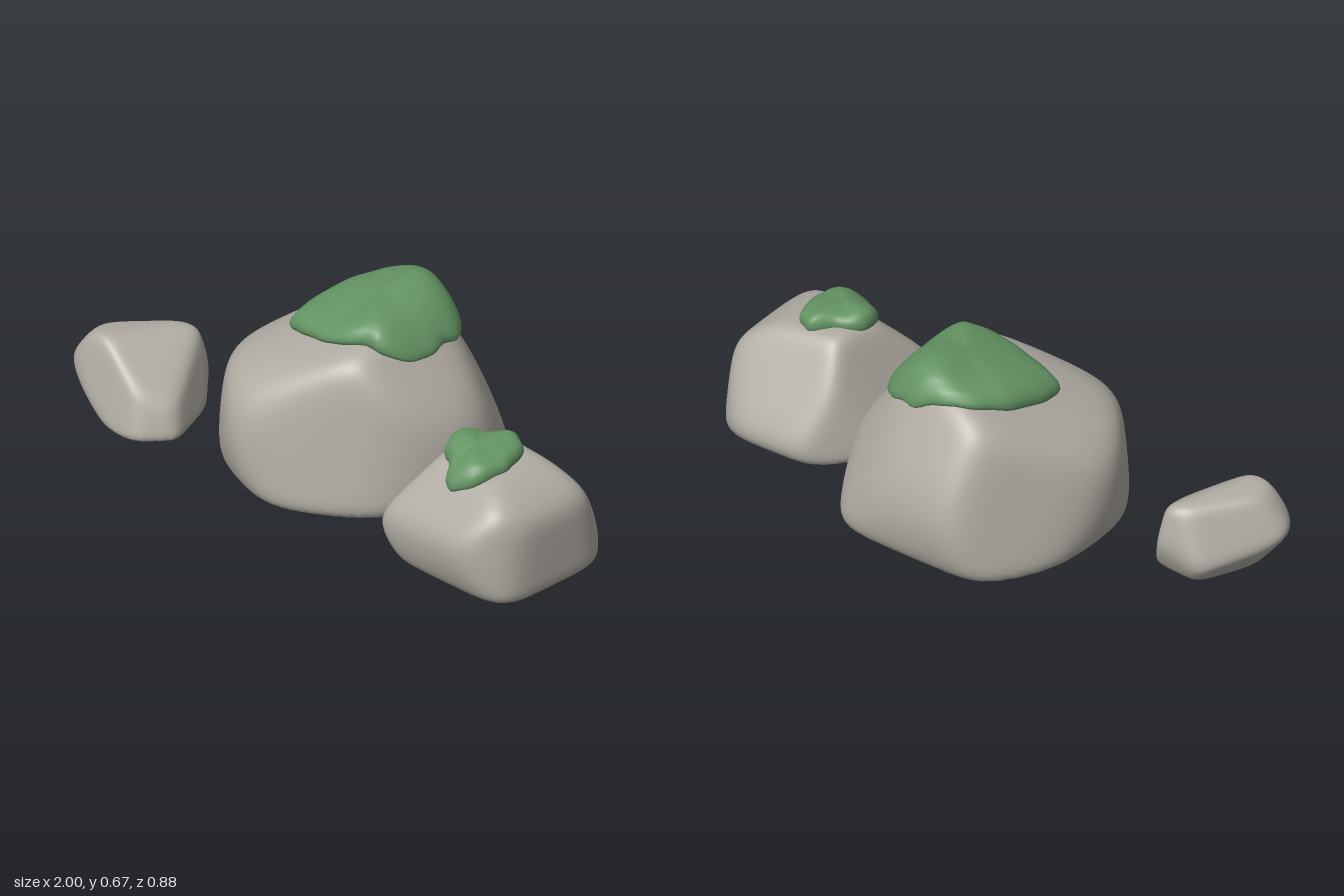
import * as THREE from 'three';
import { mergeVertices } from 'three/addons/utils/BufferGeometryUtils.js';

const V = (a) => new THREE.Vector3(...a);
const stone = new THREE.MeshStandardMaterial({ color: 0xb0aba3 });
stone.name = 'warm grey stone';
const green = new THREE.MeshStandardMaterial({ color: 0x659564 });
green.name = 'moss green';

// Boulder: a sphere pressed against soft-edged planes [normal, point], then fitted to a box.
function makeRock(name, centre, lo, hi, planes, sharp = 12) {
  const c = V(centre);
  const cuts = planes.map(([n, p]) => {
    const normal = V(n).normalize();
    return normal.divideScalar(normal.dot(V(p).sub(c)));
  });
  const size = (v) => cuts.reduce((s, n) => s + Math.max(0, n.dot(v)) ** sharp, 0) ** (1 / sharp);

  let geo = new THREE.IcosahedronGeometry(1, 24);
  geo.deleteAttribute('normal');
  geo.deleteAttribute('uv');
  geo = mergeVertices(geo);
  const pos = geo.attributes.position;
  const v = new THREE.Vector3();
  for (let i = 0; i < pos.count; i++) {
    v.fromBufferAttribute(pos, i);
    v.divideScalar(size(v));
    pos.setXYZ(i, v.x, v.y, v.z);
  }
  geo.computeBoundingBox();
  const from = geo.boundingBox.clone();
  const min = V(lo);
  const scale = V(hi).sub(min).divide(from.getSize(new THREE.Vector3()));
  for (let i = 0; i < pos.count; i++) {
    v.fromBufferAttribute(pos, i).sub(from.min).multiply(scale).add(min);
    pos.setXYZ(i, v.x, v.y, v.z);
  }
  geo.computeVertexNormals();
  geo.computeBoundingBox();
  geo.computeBoundingSphere();
  const mesh = new THREE.Mesh(geo, stone);
  mesh.name = name;

  // Height of the upper surface at x, z
  const height = (x, z) => {
    let a = lo[1] + (hi[1] - lo[1]) * 0.4, b = hi[1];
    for (let k = 0; k < 18; k++) {
      const y = (a + b) / 2;
      v.set(x, y, z).sub(min).divide(scale).add(from.min);
      if (size(v) < 1) a = y; else b = y;
    }
    return a;
  };
  return { mesh, height };
}

// Moss: a lumpy cushion with a rolled rim, draped over a boulder.
function makeMoss(name, outline, height, thick, ripple) {
  const curve = new THREE.CatmullRomCurve3(outline.map(([x, z]) => new THREE.Vector3(x, 0, z)), true);
  const mid = outline.reduce((s, [x, z]) => [s[0] + x / outline.length, s[1] + z / outline.length], [0, 0]);
  const profile = [
    [0, 1], [0.2, 1], [0.4, 1], [0.6, 0.97], [0.75, 0.93], [0.86, 0.84], [0.94, 0.67], [0.985, 0.42],
    [1, 0.15], [0.98, -0.12], [0.92, -0.28], [0.8, -0.35], [0.5, -0.35], [0, -0.35],
  ];
  const N = 72, verts = [], index = [];
  profile.forEach(([s, h], i) => {
    for (let j = 0; j < N; j++) {
      const u = j / N, a = u * Math.PI * 2;
      const p = curve.getPoint(u);
      const k = s * (1 + ripple * s * (Math.sin(9 * a + 1) + 0.6 * Math.sin(14 * a)));
      const dx = (p.x - mid[0]) * k, dz = (p.z - mid[1]) * k;
      const base = height(mid[0] + dx * 0.87, mid[1] + dz * 0.87);
      const lump = 1 + 0.14 * s * Math.sin(3 * a + 0.6) + 0.08 * s * Math.sin(5 * a + 2);
      verts.push(mid[0] + dx, base + thick * h * lump, mid[1] + dz);
      if (i < profile.length - 1) {
        const A = i * N + j, D = i * N + (j + 1) % N, B = A + N, C = D + N;
        index.push(A, C, B, A, D, C);
      }
    }
  });
  let geo = new THREE.BufferGeometry();
  geo.setAttribute('position', new THREE.Float32BufferAttribute(verts, 3));
  geo.setIndex(index);
  geo = mergeVertices(geo, 1e-5);
  geo.computeVertexNormals();
  const mesh = new THREE.Mesh(geo, green);
  mesh.name = name;
  return mesh;
}

export function createModel() {
  const group = new THREE.Group();
  group.name = 'mossyRocks';

  const large = makeRock('largeRock', [-0.03, 0.25, 0], [-0.46, 0, -0.44], [0.41, 0.61, 0.44], [
    // Base and undercuts
    [[0, -1, 0], [0, 0, 0]],
    [[-0.3, -0.55, 0.78], [-0.15, 0.05, 0.41]],
    [[-0.9, -0.45, 0], [-0.44, 0.06, 0.05]],
    [[0.85, -0.5, 0], [0.39, 0.05, -0.1]],
    [[0, -0.5, -0.85], [0, 0.05, -0.425]],
    // Sides
    [[0.5, 0.17, 0.85], [0.1, 0.22, 0.32]],
    [[-0.8, 0.1, 0.58], [-0.37, 0.2, 0.25]],
    [[-0.35, 0, 0.93], [-0.16, 0.18, 0.44]],
    [[-1, 0, 0], [-0.46, 0.2, 0.07]],
    [[-0.82, 0.2, -0.55], [-0.31, 0.25, -0.23]],
    [[0.1, 0, -0.99], [0, 0.12, -0.44]],
    [[0.62, 0.38, -0.68], [0.36, 0.15, -0.28]],
    [[0.98, 0, -0.1], [0.41, 0.2, -0.1]],
    [[0.85, 0.1, 0.5], [0.36, 0.15, 0.1]],
    // Shoulders and top
    [[-0.1, 0.72, 0.69], [-0.1, 0.45, 0.32]],
    [[0.1, 0.5, -0.85], [0.05, 0.43, -0.34]],
    [[0.72, 0.68, 0], [0.27, 0.445, -0.05]],
    [[-0.27, 0.95, 0.22], [-0.05, 0.56, -0.05]],
    [[-0.6, 0.8, 0], [-0.35, 0.42, 0]],
  ]);

  const medium = makeRock('mediumRock', [0.73, 0.19, 0.13], [0.45, 0, -0.163], [1, 0.41, 0.43], [
    [[0, -1, 0], [0.7, 0, 0.1]],
    [[-0.85, -0.5, 0.1], [0.463, 0.04, 0.25]],
    [[0, -0.5, 0.85], [0.7, 0.05, 0.405]],
    [[-0.08, 0, 0.98], [0.7, 0.17, 0.43]],
    [[-0.12, 0.7, 0.7], [0.7, 0.325, 0.325]],
    [[0.1, 0.98, 0.03], [0.72, 0.405, 0.15]],
    [[0, 0.5, -0.86], [0.75, 0.25, -0.06]],
    [[0, -0.5, -0.85], [0.75, 0.04, -0.15]],
    [[0.99, 0, 0.02], [1, 0.13, 0.1]],
    [[0.7, 0.1, 0.7], [0.955, 0.15, 0.36]],
    [[0.7, 0.1, -0.7], [0.95, 0.1, -0.1]],
    [[-0.75, 0.15, -0.65], [0.555, 0.08, -0.09]],
    [[-0.9, 0.4, -0.15], [0.505, 0.22, 0.1]],
    [[0.6, 0.8, 0], [0.94, 0.34, 0.1]],
  ]);

  const small = makeRock('smallRock', [-0.77, 0.14, 0.23], [-1, 0, 0.01], [-0.55, 0.293, 0.41], [
    [[0, -1, 0], [-0.75, 0, 0.2]],
    [[-0.75, -0.6, 0.2], [-0.95, 0.08, 0.3]],
    [[-0.7, -0.6, -0.35], [-0.9, 0.06, 0.18]],
    [[-0.5, -0.6, 0.6], [-0.92, 0.07, 0.36]],
    [[-0.7, 0.4, -0.6], [-0.885, 0.18, 0.15]],
    [[-0.75, 0.6, 0.2], [-0.965, 0.23, 0.28]],
    [[-0.6, 0, 0.8], [-0.95, 0.17, 0.385]],
    [[0.58, 0.8, 0.2], [-0.67, 0.235, 0.2]],
    [[-0.05, 1, -0.1], [-0.85, 0.29, 0.22]],
    [[0, 0.25, 0.97], [-0.75, 0.15, 0.4]],
    [[0.92, 0.2, -0.35], [-0.58, 0.11, 0.21]],
    [[-0.1, 0.25, -0.97], [-0.73, 0.12, 0.015]],
    [[0.1, -0.45, -0.88], [-0.7, 0.07, 0.04]],
    [[0.7, 0.3, 0.65], [-0.6, 0.13, 0.36]],
  ]);

  const largeMoss = makeMoss('largeMoss', [
    [0.04, -0.3], [0.15, -0.28], [0.24, -0.2], [0.25, -0.1], [0.26, 0.01], [0.2, 0.11], [0.12, 0.14],
    [0, 0.17], [-0.1, 0.15], [-0.2, 0.13], [-0.23, 0.05], [-0.2, -0.1], [-0.15, -0.21], [-0.06, -0.28],
  ], large.height, 0.055, 0.014);

  const mediumMoss = makeMoss('mediumMoss', [
    [0.72, 0.04], [0.78, 0.06], [0.81, 0.12], [0.82, 0.2], [0.8, 0.28], [0.74, 0.325], [0.68, 0.32],
    [0.65, 0.27], [0.6, 0.24], [0.58, 0.19], [0.6, 0.12], [0.66, 0.09],
  ], medium.height, 0.048, 0.014);

  group.add(large.mesh, medium.mesh, small.mesh, largeMoss, mediumMoss);
  return group;
}
